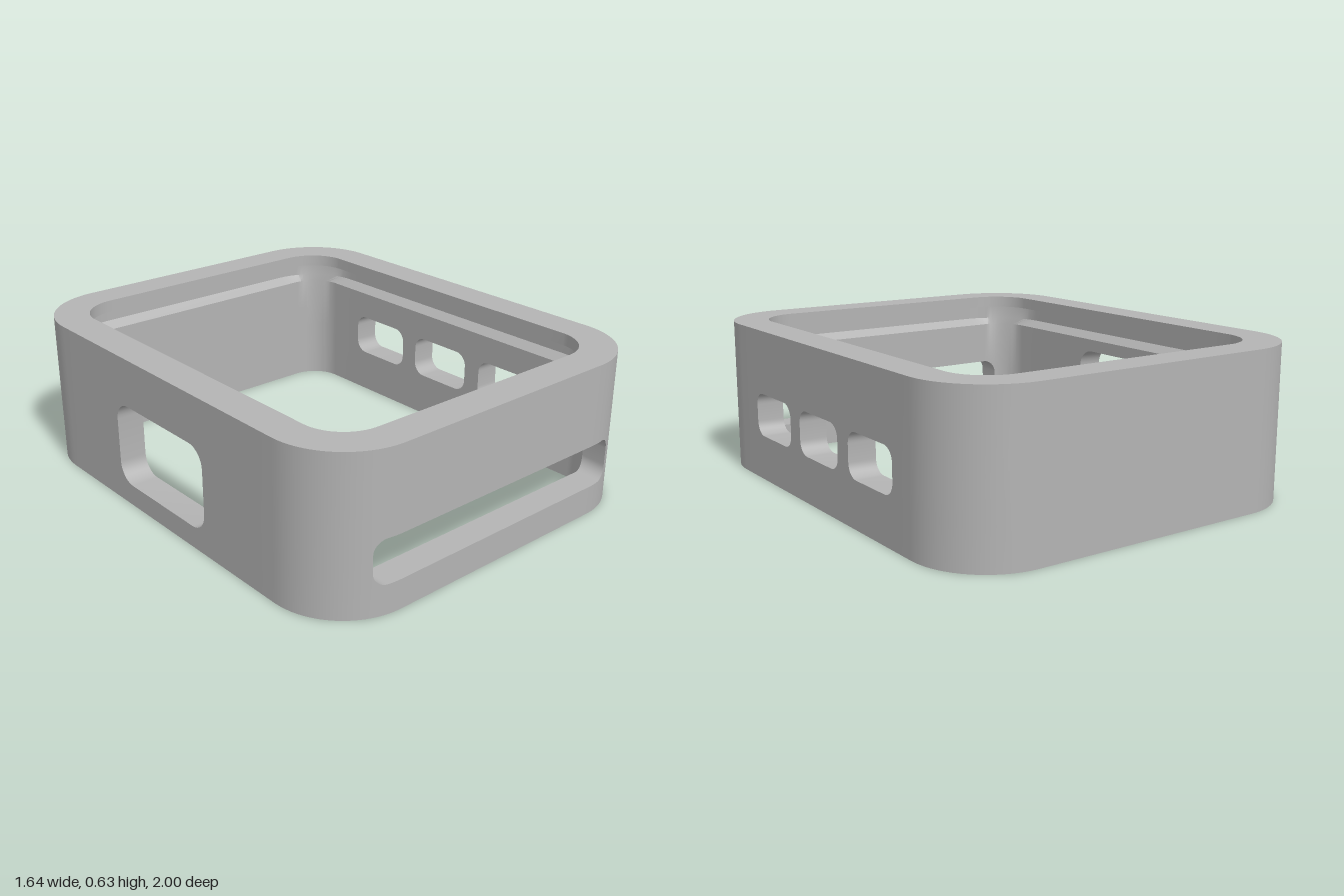
import * as THREE from 'three';
import { toCreasedNormals } from 'three/addons/utils/BufferGeometryUtils.js';

// Rounded rectangles: half width, half depth, corner radius
const OUTER = { hx: 0.82, hz: 1.0, r: 0.31 };
const LIP = { hx: 0.675, hz: 0.855, r: 0.175 };
const GROOVE = { hx: 0.74, hz: 0.92, r: 0.25 };
const INNER = { hx: 0.705, hz: 0.885, r: 0.14 };
const HEIGHT = 0.635;

// Openings per side, measured along the wall (u) and up (y)
const slot = (u0, u1) => ({ u0, u1, y0: 0.19, y1: 0.37, r: 0.055 });
const SIDES = [
  { end: 0.625, holes: [{ u0: -0.625, u1: 0.625, y0: 0.12, y1: 0.3, r: 0.055 }] }, // front
  { end: 0.6, holes: [slot(-0.54, -0.222), slot(-0.14, 0.175), slot(0.257, 0.575)] }, // +x
  { end: 0.625, holes: [] }, // back
  { end: 0.6, holes: [{ u0: -0.3, u1: 0.28, y0: 0.09, y1: 0.435, r: 0.08 }] }, // -x
];

// Turn a side's local (u along, w outwards) into x, z
const turn = (k, u, w) => [[u, w], [w, -u], [-u, -w], [-w, u]][k];
const halves = (ring, k) => (k % 2 ? [ring.hz, ring.hx] : [ring.hx, ring.hz]);
const bend = (u, straight, r) => Math.asin(Math.min(1, Math.max(0, u - straight) / r));

// Point of a ring at a station: along a side (u) or round a corner (t)
function ringPoint(ring, s) {
  const [a, b] = halves(ring, s.side);
  const { r } = ring;
  if (s.t === undefined) {
    const d = Math.max(0, Math.abs(s.u) - (a - r));
    return turn(s.side, s.u, b - r + Math.sqrt(Math.max(0, r * r - d * d)));
  }
  const from = bend(SIDES[s.side].end, a - r, r);
  const to = Math.PI / 2 - bend(SIDES[(s.side + 1) % 4].end, b - r, r);
  const q = from + (to - from) * s.t;
  return turn(s.side, a - r + r * Math.sin(q), b - r + r * Math.cos(q));
}

// Stations round the frame, dense at rounded opening ends and corners
function makeStations() {
  const list = [];
  SIDES.forEach(({ end, holes }, side) => {
    const row = [];
    holes.forEach((hole, h) => {
      const id = `${side}-${h}`;
      const { u0, u1, y0, y1, r } = hole;
      for (let i = 0; i <= 8; i++) {
        const q = (i / 8) * Math.PI / 2;
        const inset = r * (1 - Math.cos(q)), drop = r * (1 - Math.sin(q));
        const common = { side, hole: id, lo: y0 + drop, hi: y1 - drop };
        row.push({ ...common, u: u0 + inset, start: i === 0 });
        row.push({ ...common, u: u1 - inset, stop: i === 0 });
      }
    });
    // Samples where the wall begins to curve
    const inside = (u) => holes.findIndex((h) => u >= h.u0 && u <= h.u1);
    for (let i = 0; i <= 10; i++) {
      for (const sign of [-1, 1]) {
        const u = sign * (end - 0.016 * i);
        const h = inside(u);
        const near = row.some((s) => Math.abs(s.u - u) < 0.003);
        if (near) continue;
        const hole = holes[h];
        if (!hole) row.push({ side, u, lo: 0.15, hi: 0.35 });
        else {
          const d = Math.max(0, hole.r - Math.min(u - hole.u0, hole.u1 - u));
          const drop = hole.r - Math.sqrt(hole.r ** 2 - d * d);
          row.push({ side, u, hole: `${side}-${h}`, lo: hole.y0 + drop, hi: hole.y1 - drop });
        }
      }
    }
    row.sort((p, q) => p.u - q.u);
    list.push(...row);
    for (let i = 0; i <= 14; i++) list.push({ side, t: i / 14, lo: 0.17, hi: 0.26 });
  });
  return list;
}

// Closed wall section: outside, rim, lip, groove, chamfer, inside
function section(s) {
  return [
    [OUTER, 0], [OUTER, s.lo], [OUTER, s.hi], [OUTER, HEIGHT],
    [LIP, HEIGHT], [LIP, 0.585], [GROOVE, 0.585], [GROOVE, 0.52],
    [INNER, 0.49], [INNER, s.hi], [INNER, s.lo], [INNER, 0],
  ].map(([ring, y]) => {
    const [x, z] = ringPoint(ring, s);
    return new THREE.Vector3(x, y, z);
  });
}

function frameGeometry() {
  const pos = [];
  const tri = (a, b, c) => {
    const n = b.clone().sub(a).cross(c.clone().sub(a));
    if (n.length() > 1e-9) for (const p of [a, b, c]) pos.push(p.x, p.y, p.z);
  };
  const quad = (a, b, c, d) => { tri(a, b, c); tri(a, c, d); };

  const stations = makeStations();
  const cuts = stations.map(section);
  stations.forEach((s, i) => {
    const j = (i + 1) % stations.length;
    const A = cuts[i], B = cuts[j];
    const open = s.hole && s.hole === stations[j].hole;
    for (let k = 0; k < 12; k++) {
      if (open && (k === 1 || k === 9)) continue;
      const m = (k + 1) % 12;
      quad(A[k], B[k], B[m], A[m]);
    }
    // Sill, head and end faces of each opening
    if (open) {
      quad(A[1], B[1], B[10], A[10]);
      quad(A[9], B[9], B[2], A[2]);
    }
    if (s.start) quad(A[1], A[10], A[9], A[2]);
    if (s.stop) quad(A[2], A[9], A[10], A[1]);
  });

  const geo = new THREE.BufferGeometry();
  geo.setAttribute('position', new THREE.Float32BufferAttribute(pos, 3));
  return toCreasedNormals(geo, 0.45);
}

export function createModel() {
  const grey = new THREE.MeshStandardMaterial({ color: 0xb4b4b4 });
  grey.name = 'grey';
  const frame = new THREE.Mesh(frameGeometry(), grey);
  frame.name = 'caseFrame';
  const group = new THREE.Group();
  group.name = 'case';
  group.add(frame);
  return group;
}
